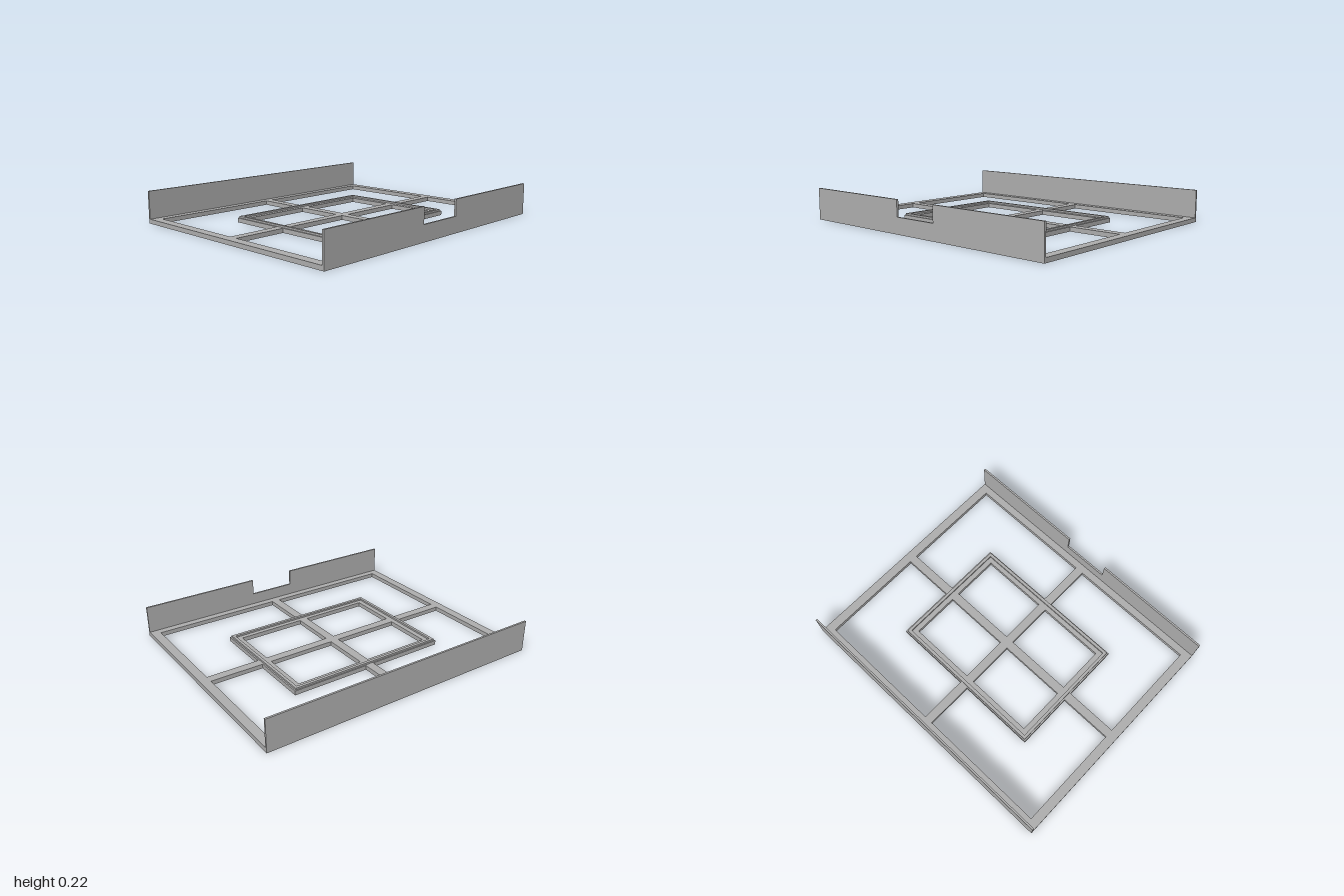
import * as THREE from 'three';

const W = 1, D = 0.825, WALL = 0.013, BASE_H = 0.03, WALL_H = 0.22, BAR = 0.03;

// Turns corner points into a closed path
const points = (list) => list.map(([x, y]) => new THREE.Vector2(x, y));
const rect = (x, z) => points([[-x, -z], [x, -z], [x, z], [-x, z]]);

// Extrudes a plan outline with holes upwards from height y
function slab(outline, holes, height, y) {
  const shape = new THREE.Shape(outline);
  holes.forEach((h) => shape.holes.push(new THREE.Path(h)));
  const geo = new THREE.ExtrudeGeometry(shape, { depth: height, bevelEnabled: false });
  return geo.rotateX(-Math.PI / 2).translate(0, y, 0);
}

export function createModel() {
  const model = new THREE.Group();
  model.name = 'tray';
  const grey = new THREE.MeshStandardMaterial({ color: 0xb0b0b0 });
  grey.name = 'grey';

  const add = (geo, name) => {
    const mesh = new THREE.Mesh(geo, grey);
    mesh.name = name;
    model.add(mesh);
    return mesh;
  };

  // Base: outer frame, centre frame and cross bars, cut as windows in one plate
  const windows = [];
  for (const sx of [-1, 1]) {
    for (const sz of [-1, 1]) {
      const mirror = (list) => points(list.map(([x, z]) => [x * sx, z * sz]));
      windows.push(mirror([[BAR, BAR], [0.505, BAR], [0.505, 0.365], [BAR, 0.365]]));
      windows.push(mirror([
        [0.57, BAR], [0.938, BAR], [0.938, 0.762],
        [BAR, 0.762], [BAR, 0.426], [0.57, 0.426],
      ]));
    }
  }
  add(slab(rect(W, D - WALL), windows, BASE_H, 0), 'baseFrame');

  // Raised rim on the centre frame
  add(slab(rect(0.56, 0.418), [rect(0.54, 0.397)], 0.012, BASE_H), 'centreRim');

  // Plain back wall
  const back = add(new THREE.BoxGeometry(2 * W, WALL_H, WALL), 'backWall');
  back.position.set(0, WALL_H / 2, -D + WALL / 2);

  // Front wall with a notch in its top edge
  const notched = new THREE.Shape(points([
    [-W, 0], [W, 0], [W, WALL_H], [0.163, WALL_H],
    [0.163, 0.11], [-0.163, 0.11], [-0.163, WALL_H], [-W, WALL_H],
  ]));
  const front = add(
    new THREE.ExtrudeGeometry(notched, { depth: WALL, bevelEnabled: false }), 'frontWall');
  front.position.z = D - WALL;

  return model;
}
